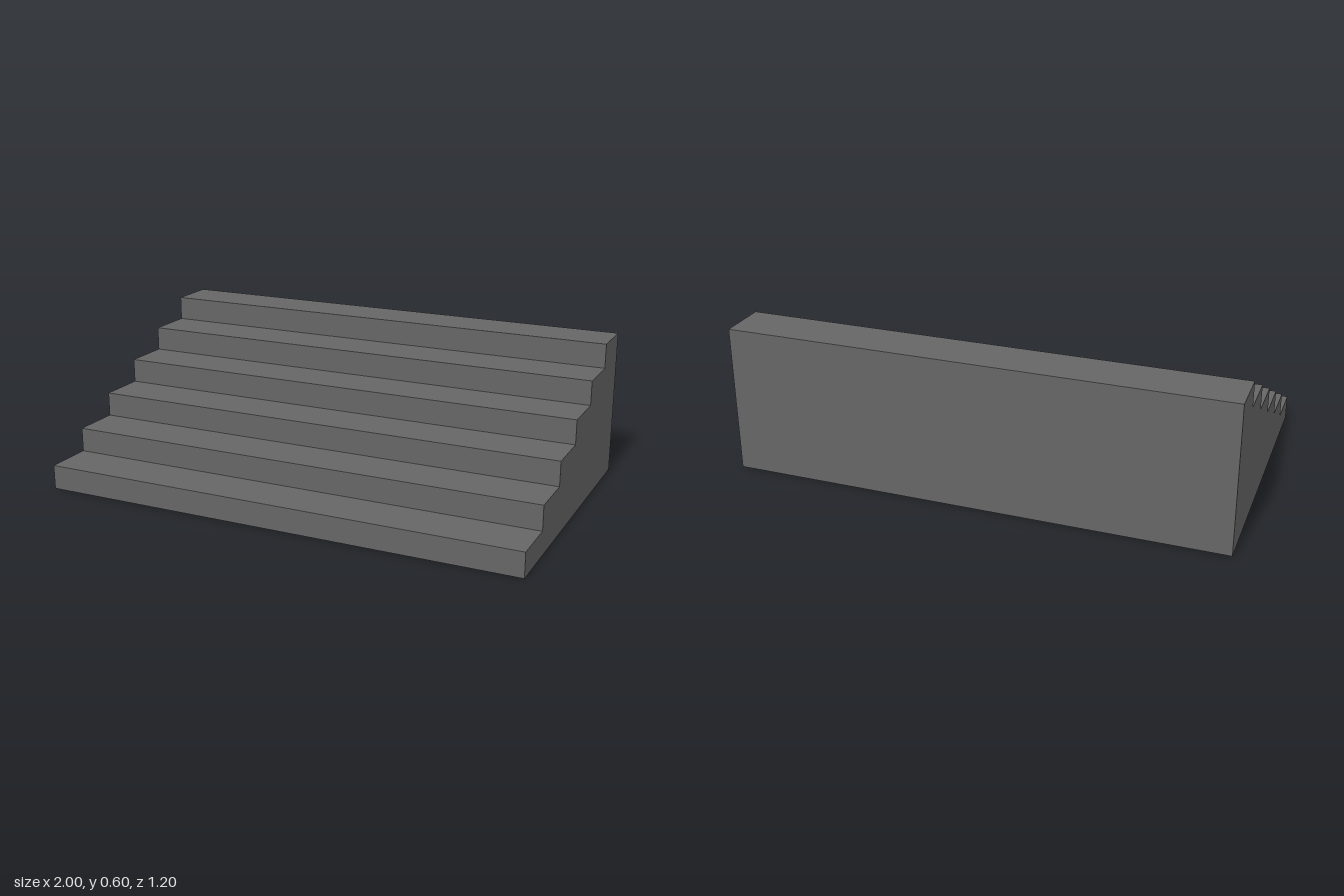
import * as THREE from 'three';

// Wide staircase: six solid blocks, each one riser taller than the one in front.
const STEPS = 6;
const WIDTH = 2;
const TREAD = 0.2;
const RISER = 0.1;

export function createModel() {
  const group = new THREE.Group();
  group.name = 'staircase';
  const material = new THREE.MeshStandardMaterial({ color: 0x666666 });

  // Each block stands on the ground; the lowest is at the front (+z)
  for (let i = 0; i < STEPS; i++) {
    const height = RISER * (i + 1);
    const step = new THREE.Mesh(new THREE.BoxGeometry(WIDTH, height, TREAD), material);
    step.name = `step${i + 1}`;
    step.position.set(0, height / 2, TREAD * ((STEPS - 1) / 2 - i));
    group.add(step);
  }
  return group;
}
